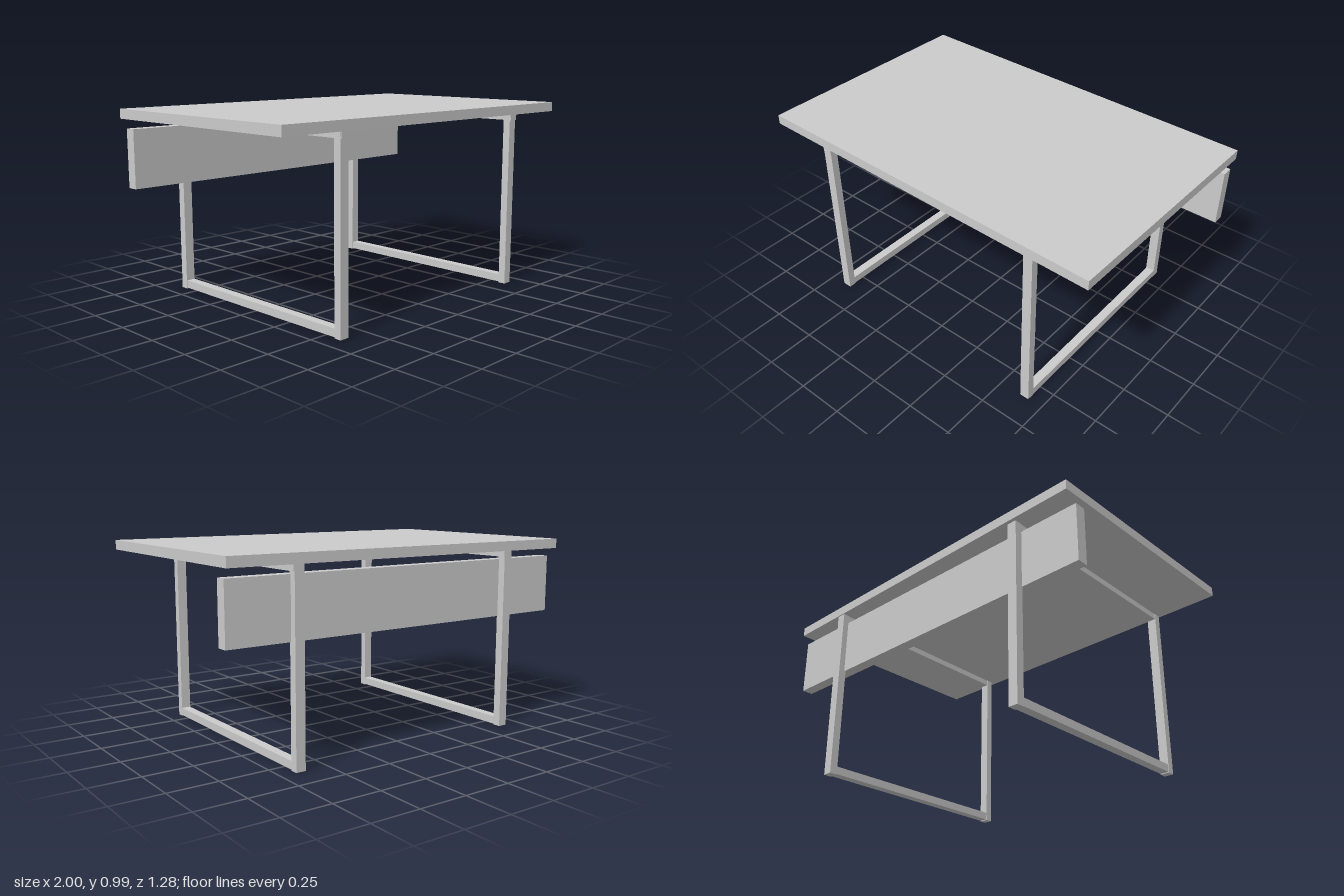
import * as THREE from 'three';

const material = new THREE.MeshStandardMaterial({ color: 0xcccccc, flatShading: true });

// Box given by its min and max corners
function box(name, [x0, y0, z0], [x1, y1, z1]) {
  const mesh = new THREE.Mesh(new THREE.BoxGeometry(x1 - x0, y1 - y0, z1 - z0), material);
  mesh.name = name;
  mesh.position.set((x0 + x1) / 2, (y0 + y1) / 2, (z0 + z1) / 2);
  return mesh;
}

// Closed rectangular leg frame standing across the depth of the table
function legFrame(name, x, back) {
  const frame = new THREE.Group();
  frame.name = name;
  const h = 0.025;
  frame.add(
    box('frontLeg', [-h, 0, 0.563], [h, 0.935, 0.602]),
    box('backLeg', [-h, 0, back], [h, 0.935, back + 0.042]),
    box('bottomRail', [-h + 0.003, 0.004, back + 0.042], [h, 0.045, 0.563]),
    box('topRail', [-h + 0.003, 0.903, back + 0.002], [h + 0.004, 0.936, 0.606])
  );
  frame.position.x = x;
  return frame;
}

export function createModel() {
  const table = new THREE.Group();
  table.name = 'table';

  // Top, set very slightly askew on its frames
  const top = box('tableTop', [-0.991, 0.935, -0.623], [0.991, 0.985, 0.623]);
  top.rotation.y = -0.015;
  table.add(top);

  // Modesty panel just inside the back legs
  table.add(box('backPanel', [-0.985, 0.59, -0.575], [0.995, 0.89, -0.516]));

  table.add(legFrame('leftFrame', 0.645, -0.608), legFrame('rightFrame', -0.638, -0.614));
  return table;
}
